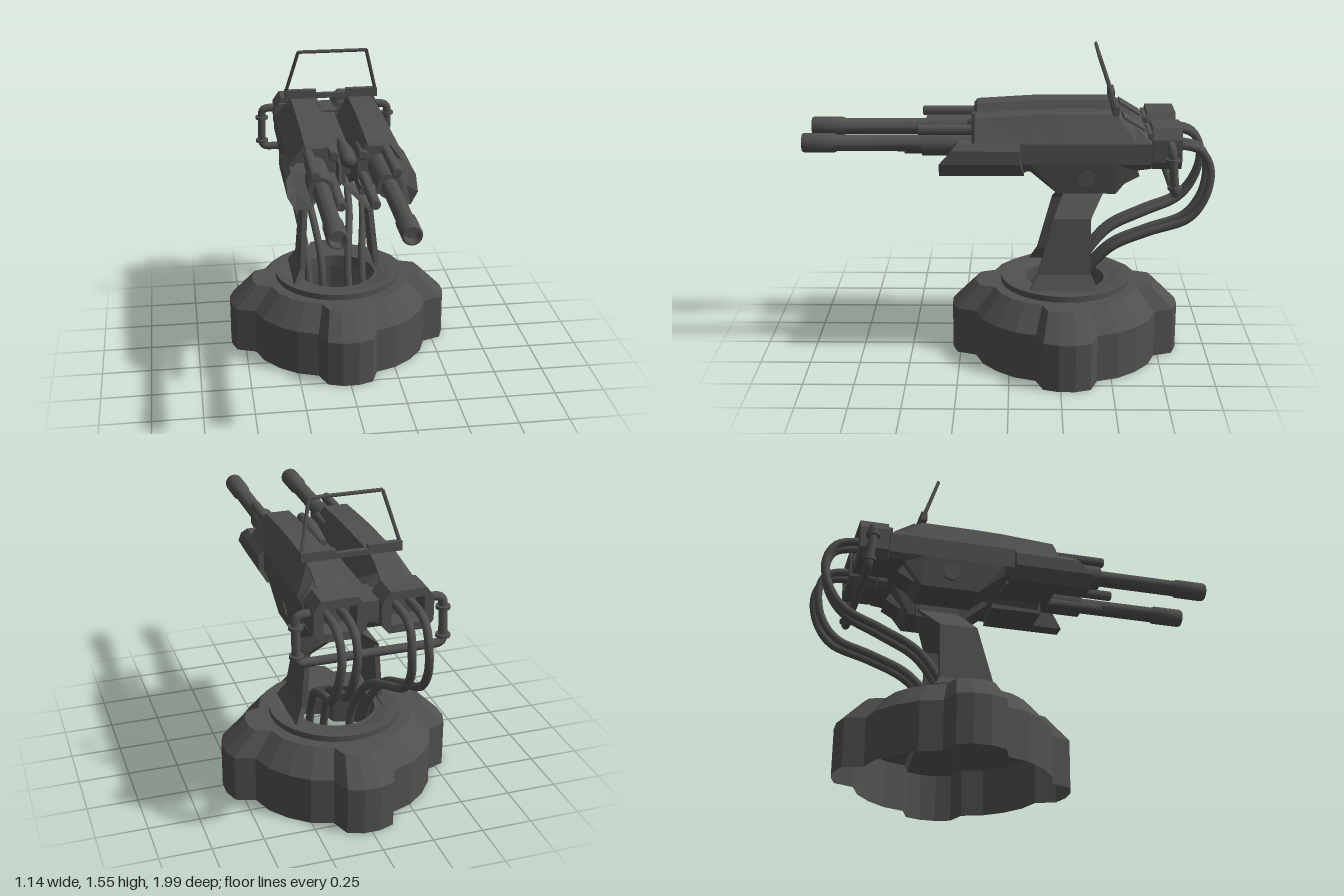
import * as THREE from 'three';
import { toCreasedNormals } from 'three/addons/utils/BufferGeometryUtils.js';

const mat = new THREE.MeshStandardMaterial({ color: 0x505050, side: THREE.DoubleSide });

function add(parent, name, geo, x = 0, y = 0, z = 0) {
  const m = new THREE.Mesh(geo, mat);
  m.name = name;
  m.position.set(x, y, z);
  parent.add(m);
  return m;
}

// Flat-faced skin through matching cross-sections, with optional end caps
function loft(sections, capped = true) {
  const out = [];
  const n = sections[0].length;
  for (let i = 0; i < sections.length - 1; i++) {
    for (let j = 0; j < n; j++) {
      const k = (j + 1) % n, s = sections[i], t = sections[i + 1];
      out.push(...s[j], ...t[j], ...s[k], ...s[k], ...t[j], ...t[k]);
    }
  }
  const cap = (s, flip) => {
    const c = [0, 1, 2].map(a => s.reduce((sum, p) => sum + p[a], 0) / n);
    for (let j = 0; j < n; j++) {
      const a = s[j], b = s[(j + 1) % n];
      out.push(...c, ...(flip ? b : a), ...(flip ? a : b));
    }
  };
  if (capped) {
    cap(sections[0], false);
    cap(sections[sections.length - 1], true);
  }
  const g = new THREE.BufferGeometry();
  g.setAttribute('position', new THREE.Float32BufferAttribute(out, 3));
  g.computeVertexNormals();
  return g;
}

// Turned part; profile is [radius, height] from low to high
const turned = (profile, sides = 24) => toCreasedNormals(
  new THREE.LatheGeometry(profile.map(p => new THREE.Vector2(...p)), sides), 0.6);
const turnedZ = (profile, sides) => turned(profile, sides).rotateX(Math.PI / 2);

const curve = (pts, tension = 0.5) =>
  new THREE.CatmullRomCurve3(pts.map(p => new THREE.Vector3(...p)), false, 'catmullrom', tension);

function createBase(root) {
  const base = new THREE.Group();
  base.name = 'base';
  base.position.z = -0.28;
  root.add(base);
  // One quarter of the lobed outline as [angle, radius]
  const quarter = [[-0.207, 0.557], [-0.07, 0.572], [0.07, 0.572], [0.207, 0.557],
    [0.322, 0.474], [0.55, 0.484], [0.785, 0.484], [1.02, 0.484], [1.249, 0.474]];
  const ring = (y, fn) => {
    const pts = [];
    for (let q = 0; q < 4; q++) {
      for (const [a, r] of quarter) {
        const t = a + q * Math.PI / 2;
        pts.push([fn(r) * Math.cos(t), y, fn(r) * Math.sin(t)]);
      }
    }
    return pts;
  };
  add(base, 'lobedShell', loft([ring(0, r => r), ring(0.24, r => r),
    ring(0.36, r => r * 0.79), ring(0.36, () => 0.2)], false));
  add(base, 'turntableRing', turned([[0.325, 0.35], [0.325, 0.39], [0.25, 0.39],
    [0.225, 0.375], [0.2, 0.375], [0.2, 0.31]], 32));
}

function createSide() {
  const side = new THREE.Group();
  const cx = 0.157, cy = 1.12;

  // Bent support arm: [y, centre x, front z, back z]
  const arm = [[1.02, 0.035, -0.28, -0.48], [0.875, 0.035, -0.28, -0.48],
    [0.745, 0.172, -0.215, -0.4], [0.46, 0.195, -0.14, -0.4], [0.385, 0.235, -0.1, -0.44]];
  add(side, 'supportArm', loft(arm.map(([y, x, f, b]) => [
    [x - 0.013, y, f], [x + 0.013, y, f], [x + 0.013, y, b], [x - 0.013, y, b]])));

  // Gun housing with a recessed front: [z, bottom, top, inset scale]
  const stations = [[0.13, 1, 1.255, 0.8], [0.18, 1, 1.255, 0.87], [0.165, 1, 1.255, 1],
    [-0.1, 1.01, 1.272, 1], [-0.23, 0.9, 1.275, 1], [-0.51, 0.9, 1.275, 1],
    [-0.6, 1.015, 1.22, 1], [-0.675, 1.025, 1.175, 1]];
  add(side, 'gunHousing', loft(stations.map(([z, b, t, s]) =>
    [[0.06, b], [0.265, b], [0.285, 1.05], [0.285, 1.15], [0.21, t], [0.09, t], [0.03, 1.16], [0.03, 1.05]]
      .map(([x, y]) => [cx + (x - cx) * s, cy + (y - cy) * s, z]))));

  // Side shroud with a raked front
  const shroud = [[0.2, 0.99], [0.275, 0.99], [0.31, 1.055], [0.31, 1.12], [0.285, 1.15], [0.2, 1.15]];
  add(side, 'sideShroud', loft([
    shroud.map(([x, y]) => [x, y, 0.335 - Math.max(0, y - 1.055) * 0.9]),
    shroud.map(([x, y]) => [x, y, -0.05 - Math.max(0, 1.06 - y) * 0.3])]));
  add(side, 'lowerTray', new THREE.BoxGeometry(0.16, 0.03, 0.26), 0.135, 1.005, 0.05);

  // Main barrel with sleeve and hollow muzzle
  add(side, 'barrel', turnedZ([[0.06, 0.1], [0.06, 0.42], [0.04, 0.42], [0.04, 0.83],
    [0.047, 0.845], [0.047, 0.99], [0.043, 1], [0.035, 1], [0.03, 0.95], [0, 0.95]]), 0.16, cy, 0);
  // Small tubes around the barrel: [x, y, front z]
  for (const [x, y, z] of [[0.19, 1.195, 0.44], [0.08, 1.07, 0.515], [0.07, 1.195, 0.19], [0.235, 1.07, 0.19]]) {
    add(side, 'auxiliaryTube', turnedZ([[0.025, 0.05], [0.025, z - 0.005], [0.02, z], [0, z]], 16), x, y, 0);
  }

  // Sloped hatch and side pivot
  const hatch = add(side, 'rearHatch', new THREE.BoxGeometry(0.12, 0.02, 0.12), 0.15, 1.225, -0.592);
  hatch.rotation.x = -0.545;
  add(side, 'pivotCap', new THREE.CylinderGeometry(0.04, 0.04, 0.02, 20).rotateZ(Math.PI / 2), 0.275, 0.98, -0.37);
  const vent = add(side, 'undersideVent', new THREE.BoxGeometry(0.14, 0.045, 0.09), 0.155, 0.975, -0.575);
  vent.rotation.x = 0.5;

  // Open rear socket that receives the cables
  const frame = new THREE.Shape([[0.07, 1.02], [0.25, 1.02], [0.28, 1.06], [0.28, 1.17], [0.245, 1.22],
    [0.075, 1.22], [0.035, 1.17], [0.035, 1.06]].map(p => new THREE.Vector2(...p)));
  frame.holes.push(new THREE.Path([[0.08, 1.06], [0.08, 1.18], [0.235, 1.18], [0.235, 1.06]]
    .map(p => new THREE.Vector2(...p))));
  add(side, 'rearSocket', new THREE.ExtrudeGeometry(frame, { depth: 0.14, bevelEnabled: false }), 0, 0, -0.82);
  add(side, 'socketBack', new THREE.BoxGeometry(0.2, 0.16, 0.06), cx, 1.115, -0.69);

  // Hanging cables: upper and lower x of each
  for (const [top, bottom, dz] of [[0.2, 0.145, 0], [0.125, 0.07, 0.012]]) {
    const path = curve([[top, 1.12, -0.72], [top, 1.12, -0.85], [top, 1.085, -0.93], [top, 0.99, -0.97 + dz],
      [top + 0.01, 0.86, -0.945 + dz], [top + 0.01, 0.75, -0.86 + dz], [top - 0.01, 0.68, -0.68],
      [bottom + 0.03, 0.6, -0.51], [bottom + 0.01, 0.48, -0.4], [bottom, 0.36, -0.34], [bottom, 0.25, -0.31]]);
    add(side, 'cable', new THREE.TubeGeometry(path, 60, 0.02, 10));
  }

  // Collars on the side pipe
  for (const [y, z] of [[1.09, -0.77], [0.955, -0.782]]) {
    add(side, 'pipeCollar', new THREE.CylinderGeometry(0.034, 0.034, 0.014, 16), 0.345, y, z);
  }
  return side;
}

export function createModel() {
  const root = new THREE.Group();
  root.name = 'twinGunTurret';
  createBase(root);

  for (const s of [1, -1]) {
    const side = createSide();
    side.name = s > 0 ? 'leftGun' : 'rightGun';
    side.scale.x = s;
    root.add(side);
  }

  // Centre spine and rounded sensor pod
  add(root, 'centreSpine', new THREE.BoxGeometry(0.1, 0.12, 0.66), 0, 1.1, -0.3);
  add(root, 'rearSpine', new THREE.BoxGeometry(0.08, 0.1, 0.18), 0, 1.12, -0.69);
  add(root, 'sensorPod', turnedZ([[0, -0.1], [0.02, -0.1], [0.04, 0.08], [0.04, 0.17],
    [0.034, 0.193], [0.02, 0.208], [0, 0.213]], 20), 0, 1.17, 0);

  // Pipe running down both sides and across the back
  const half = [[0.25, 1.145, -0.765], [0.31, 1.145, -0.765], [0.337, 1.135, -0.766], [0.345, 1.105, -0.768],
    [0.345, 0.955, -0.782], [0.337, 0.93, -0.785], [0.31, 0.92, -0.786], [0.15, 0.92, -0.786]];
  const mirrored = half.map(([x, y, z]) => [-x, y, z]).reverse();
  add(root, 'crossPipe', new THREE.TubeGeometry(curve([...half, ...mirrored], 0.3), 120, 0.021, 10));

  // Sight frame leaning forward above the guns
  const corners = [[0.235, 1.31, -0.505], [0.175, 1.543, -0.425], [-0.175, 1.543, -0.425], [-0.235, 1.31, -0.505]]
    .map(p => new THREE.Vector3(...p));
  for (let i = 0; i < 3; i++) {
    add(root, 'sightFrame', new THREE.TubeGeometry(new THREE.LineCurve3(corners[i], corners[i + 1]), 1, 0.009, 6));
  }
  add(root, 'sightBar', new THREE.BoxGeometry(0.17, 0.026, 0.025), 0, 1.287, -0.505);
  for (const s of [1, -1]) {
    add(root, 'sightMount', new THREE.BoxGeometry(0.165, 0.045, 0.03), s * 0.16, 1.297, -0.505);
  }
  return root;
}
